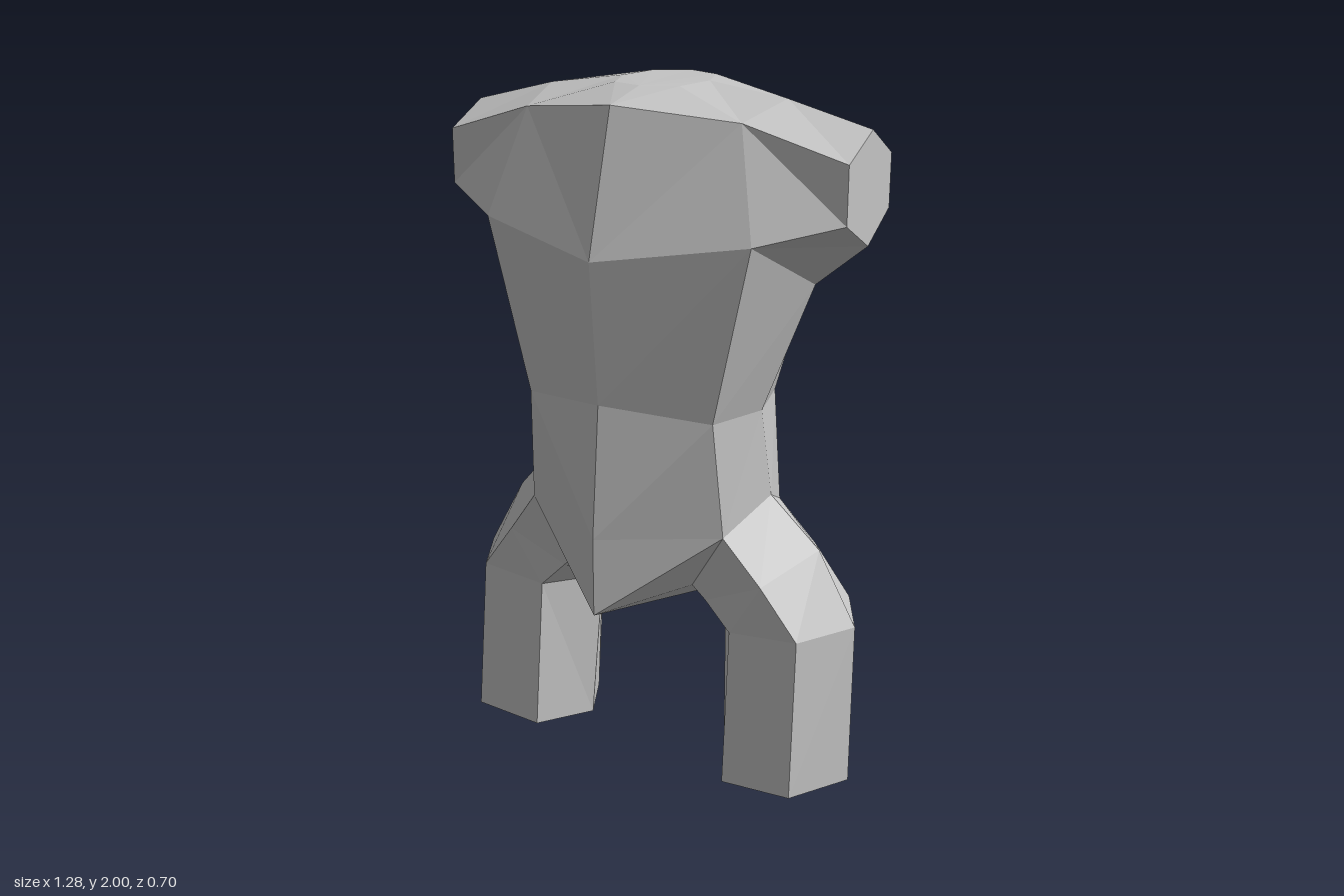
import * as THREE from 'three';

// Cross-sections of the left (+x) half, listed front -> side -> back
const neck = [[0, 1.985, 0.095], [0.1, 1.985, 0.055], [0.135, 1.992, -0.045], [0.1, 1.998, -0.145], [0, 2, -0.185]];
const shoulder = [[0, 1.95, 0.24], [0.33, 1.915, 0.14], [0.37, 1.96, -0.04], [0.33, 1.91, -0.23], [0, 1.95, -0.325]];
const chest = [[0, 1.56, 0.35], [0.41, 1.62, 0.23], [0.47, 1.48, -0.03], [0.41, 1.62, -0.23], [0, 1.56, -0.35]];
const waist = [[0, 1.16, 0.315], [0.295, 1.125, 0.21], [0.35, 1.125, 0.03], [0.295, 1.125, -0.16], [0, 1.17, -0.26]];
const hip = [[0, 0.78, 0.35], [0.315, 0.79, 0.18], [0.37, 0.87, 0], [0.315, 0.79, -0.17], [0, 0.78, -0.35]];
const groin = [[0, 0.55, 0.35], [0.2, 0.61, 0.145], [0.145, 0.52, -0.01], [0.2, 0.61, -0.18], [0, 0.55, -0.35]];
const crotch = [0, 0.46, 0];

// Six-sided stump of the arm
const armEnd = [[0.11, 1.83], [0.11, 1.675], [-0.03, 1.6], [-0.16, 1.68], [-0.16, 1.825], [-0.03, 1.9]]
  .map(([z, y]) => [0.615, y, z]);
const armRoot = [shoulder[1], chest[1], chest[2], chest[3], shoulder[3], shoulder[2]];

// Six-sided leg sections from the hip to the open end of the thigh
const legRings = [
  [hip[2], hip[1], groin[1], groin[2], groin[3], hip[3]],
  [[0.51, 0.72, -0.03], [0.42, 0.655, 0.155], [0.24, 0.57, 0.14], [0.17, 0.485, -0.02], [0.24, 0.57, -0.2], [0.42, 0.655, -0.205]],
  [[0.628, 0.51, -0.03], [0.53, 0.51, 0.145], [0.32, 0.49, 0.145], [0.215, 0.475, -0.03], [0.32, 0.49, -0.21], [0.53, 0.51, -0.21]],
  [[0.64, 0.037, 0], [0.54, 0.043, 0.185], [0.325, 0.03, 0.185], [0.235, 0.012, 0.005], [0.325, 0, -0.17], [0.54, 0.012, -0.17]],
];

// Quads between two sections; closed joins the last point to the first
function bridge(base, tip, closed) {
  const n = base.length, faces = [];
  for (let i = 0; i < (closed ? n : n - 1); i++) {
    const j = (i + 1) % n;
    faces.push([base[i], base[j], tip[j], tip[i]]);
  }
  return faces;
}

// Fan-triangulated flat faces, mirrored to -x when asked
function facesToPositions(faces, mirror) {
  const out = [];
  for (const f of faces) {
    for (let i = 1; i < f.length - 1; i++) {
      const tri = mirror ? [f[0], f[i + 1], f[i]] : [f[0], f[i], f[i + 1]];
      for (const [x, y, z] of tri) out.push(mirror ? -x : x, y, z);
    }
  }
  return out;
}

export function createModel() {
  const group = new THREE.Group();
  const grey = new THREE.MeshStandardMaterial({ color: 0xc4c4c4 });
  grey.name = 'plain grey';

  const addMesh = (name, positions) => {
    const g = new THREE.BufferGeometry();
    g.setAttribute('position', new THREE.Float32BufferAttribute(positions, 3));
    g.computeVertexNormals();
    const mesh = new THREE.Mesh(g, grey);
    mesh.name = name;
    group.add(mesh);
  };

  // Torso: neck cap, shoulders, chest, waist, hips and underside
  const torso = [
    neck,
    ...bridge(shoulder, neck),
    ...bridge(chest.slice(0, 2), shoulder.slice(0, 2)),
    ...bridge(chest.slice(3), shoulder.slice(3)),
    ...bridge(waist, chest),
    ...bridge(hip, waist),
    ...bridge(groin.slice(0, 2), hip.slice(0, 2)),
    ...bridge(groin.slice(3), hip.slice(3)),
    [groin[0], crotch, groin[2], groin[1]],
    [crotch, groin[4], groin[3], groin[2]],
  ];
  addMesh('torso', [...facesToPositions(torso, false), ...facesToPositions(torso, true)]);

  // Arm stumps and legs, one per side
  const arm = [...bridge(armRoot, armEnd, true), armEnd];
  const leg = [];
  for (let i = 0; i < 3; i++) leg.push(...bridge(legRings[i], legRings[i + 1], true));
  leg.push(legRings[3]);
  for (const [side, mirror] of [['left', false], ['right', true]]) {
    addMesh(side + 'Shoulder', facesToPositions(arm, mirror));
    addMesh(side + 'Leg', facesToPositions(leg, mirror));
  }
  return group;
}
